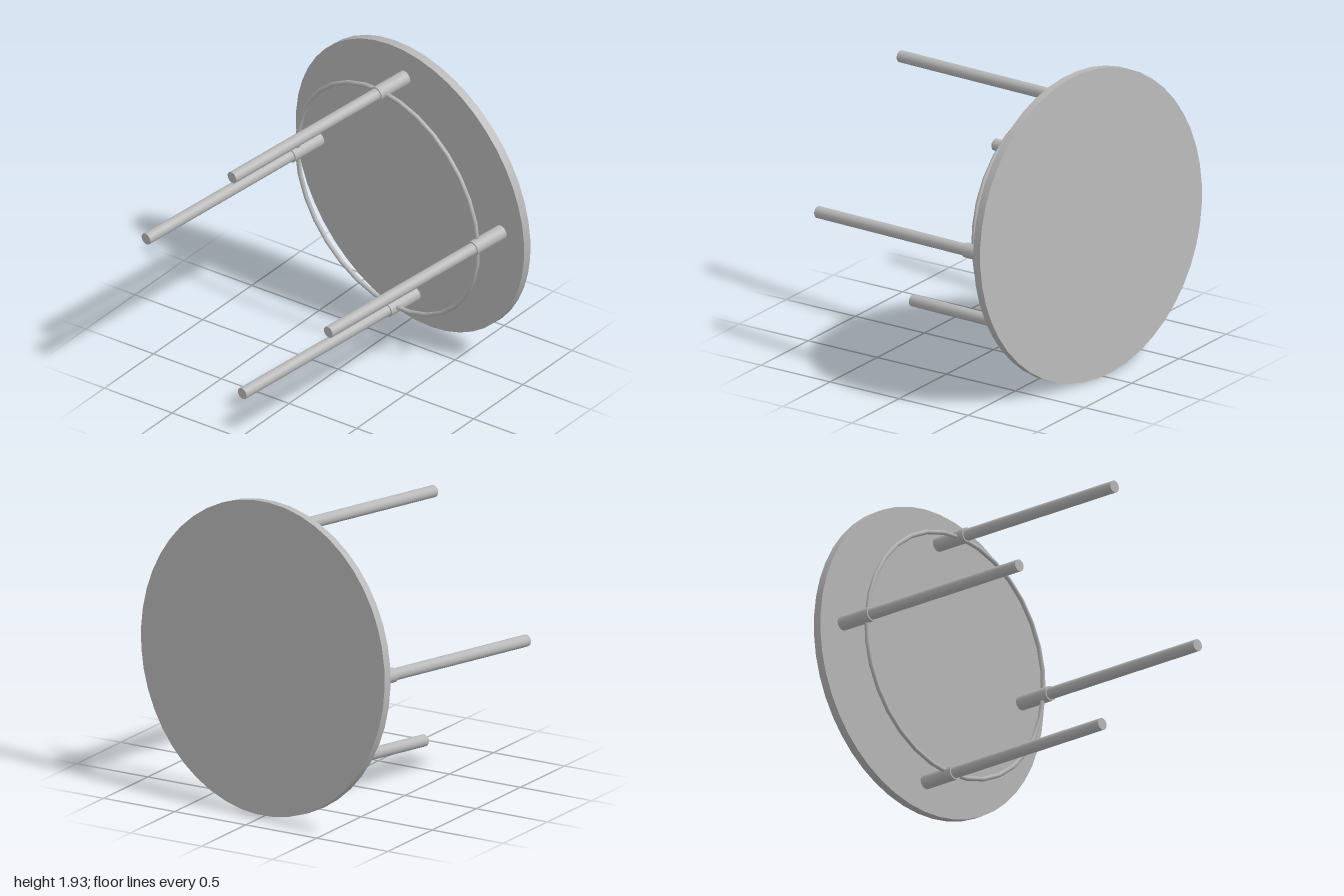
import * as THREE from 'three';

export function createModel() {
  const model = new THREE.Group();
  model.name = 'tippedTable';
  const grey = new THREE.MeshStandardMaterial({ color: 0xb8b8b8 });
  grey.name = 'grey';

  // The table is built with its legs along +z, then tilted as a whole.
  const table = new THREE.Group();
  table.name = 'table';
  model.add(table);

  // Cylinder running along z from z0 to z1
  function rod(name, radius, z0, z1, sides, x = 0, y = 0) {
    const geo = new THREE.CylinderGeometry(radius, radius, z1 - z0, sides);
    geo.rotateX(Math.PI / 2);
    const mesh = new THREE.Mesh(geo, grey);
    mesh.name = name;
    mesh.position.set(x, y, (z0 + z1) / 2);
    table.add(mesh);
  }

  const half = 0.027; // half the top's thickness
  rod('tableTop', 0.963, -half, half, 48);

  // Four legs, each in a wider socket under the top
  const legCircle = 0.77;
  for (let i = 0; i < 4; i++) {
    const a = (i * Math.PI) / 2;
    const x = legCircle * Math.cos(a);
    const y = legCircle * Math.sin(a);
    rod('legSocket', 0.046, half, 0.425 - 0.155, 20, x, y);
    rod('leg', 0.037, 0.2, 1.49, 20, x, y);
  }

  // Thin brace ring joining the sockets
  const ring = new THREE.Mesh(new THREE.TorusGeometry(0.762, 0.014, 8, 32), grey);
  ring.name = 'braceRing';
  ring.position.z = 0.217;
  table.add(ring);

  // Tip the table onto its side
  const legDirection = new THREE.Vector3(-0.16, -0.062, 1).normalize();
  table.quaternion.setFromUnitVectors(new THREE.Vector3(0, 0, 1), legDirection);
  table.position.set(0.04, 0.966, -0.709);
  return model;
}
